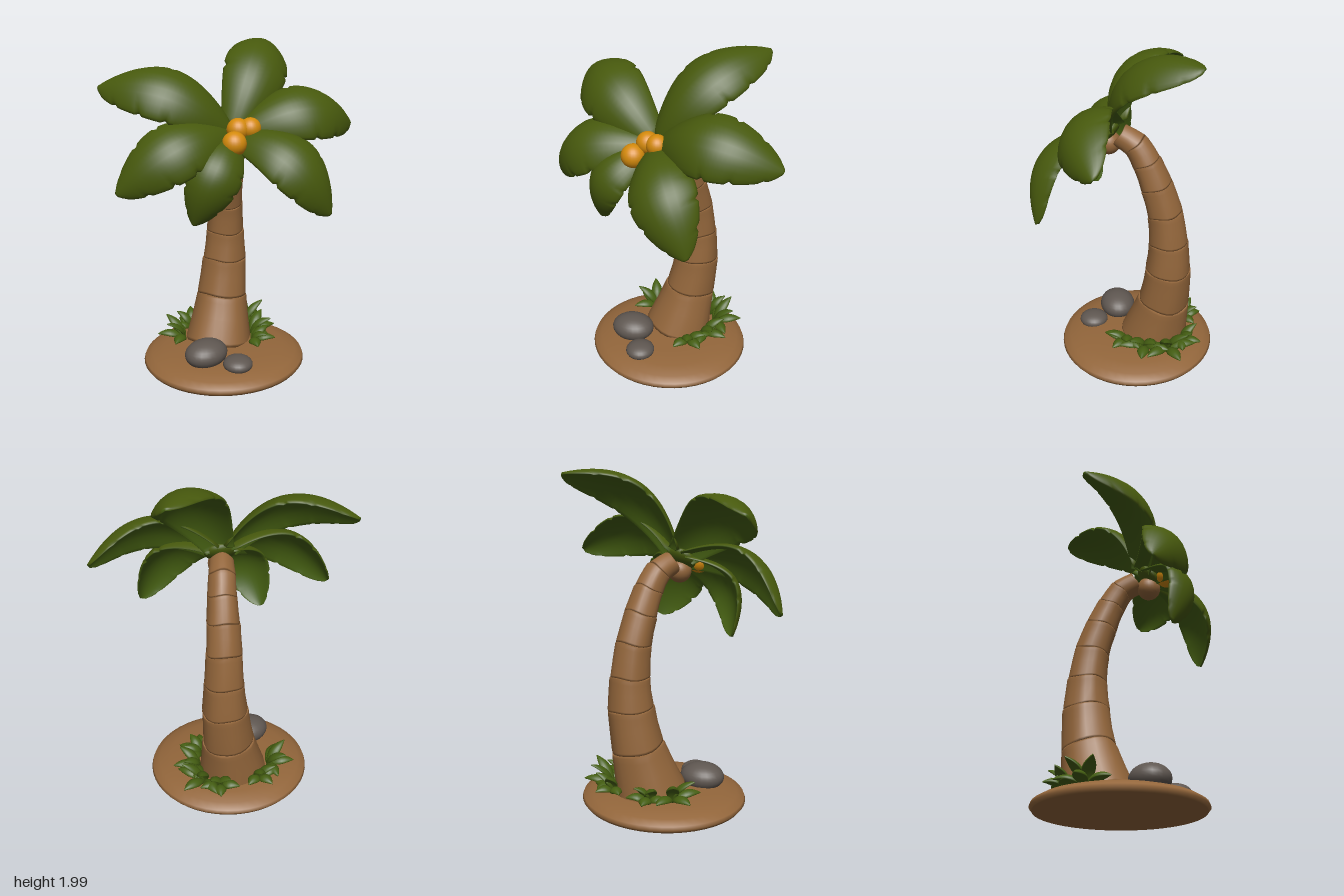
import * as THREE from 'three';

const V = (x, y, z) => new THREE.Vector3(x, y, z);
const material = (name, color) => Object.assign(new THREE.MeshStandardMaterial({ color }), { name });

// Closed skin over a list of rings; group 0 is the first half of each ring, group 1 the rest
function loft(rings) {
  const m = rings[0].length, last = rings.length - 1;
  const points = rings.flat(), upper = [], lower = [];
  for (let i = 0; i < last; i++) {
    for (let j = 0; j < m; j++) {
      const a = i * m + j, b = i * m + (j + 1) % m;
      (j < m / 2 ? upper : lower).push(a, a + m, b, b, a + m, b + m);
    }
  }
  for (const i of [0, last]) {
    const centre = rings[i].reduce((s, p) => s.add(p), V(0, 0, 0)).divideScalar(m);
    const c = points.push(centre) - 1;
    for (let j = 0; j < m; j++) {
      const a = i * m + j, b = i * m + (j + 1) % m;
      lower.push(c, i ? b : a, i ? a : b);
    }
  }
  const g = new THREE.BufferGeometry().setFromPoints(points);
  g.setIndex([...upper, ...lower]);
  g.addGroup(0, upper.length, 0);
  g.addGroup(upper.length, lower.length, 1);
  g.computeVertexNormals();
  return g;
}

// Arched, cupped leaf with a blunt tip and optional notches in its edge
function leafGeometry(base, tip, up, halfWidth, arch, thick, blunt, notch = 0, steps = 32) {
  const chord = tip.clone().sub(base);
  const dir = chord.clone().normalize();
  const n = up.clone().addScaledVector(dir, -up.dot(dir)).normalize();
  const side = dir.clone().cross(n);
  const rings = [], m = 24;
  for (let i = 0; i <= steps; i++) {
    const t = 1 - (1 - i / steps) ** 1.3;
    const p = base.clone().addScaledVector(chord, t).addScaledVector(n, arch * 4 * t * (1 - t));
    const tangent = chord.clone().addScaledVector(n, arch * 4 * (1 - 2 * t)).normalize();
    const normal = side.clone().cross(tangent).normalize();
    const s = Math.sin(Math.PI * Math.min(0.996, 0.07 + 0.93 * t ** 1.2));
    const w = halfWidth * s ** blunt;
    const ring = [];
    for (let j = 0; j < m; j++) {
      const a = (j / m) * Math.PI * 2;
      const u = Math.cos(a), v = Math.sin(a);
      const cut = t > 0.4 && (i + (u > 0 ? 0 : 3)) % 7 === 0 ? 1 - notch * u ** 8 : 1;
      ring.push(p.clone()
        .addScaledVector(side, u * w * cut)
        .addScaledVector(normal, Math.sign(v) * Math.abs(v) ** 0.6 * thick * (0.3 + 0.7 * s) - 0.43 * w * u * u));
    }
    rings.push(ring);
  }
  return loft(rings);
}

export function createModel() {
  const model = new THREE.Group();
  model.name = 'palmTree';
  const bark = material('bark brown', 0x93663b);
  const green = material('leaf green', 0x47590d);
  const fern = material('fern green', 0x455f12);
  const stone = material('stone grey', 0x5f5751);
  const orange = material('fruit orange', 0xd48a0c);

  const add = (name, geometry, mat, parent = model) => {
    const mesh = new THREE.Mesh(geometry, mat);
    mesh.name = name;
    parent.add(mesh);
    return mesh;
  };
  const ball = (name, mat, x, y, z, rx, ry = rx, rz = rx) => {
    const mesh = add(name, new THREE.SphereGeometry(1, 24, 16), mat);
    mesh.position.set(x, y, z);
    mesh.scale.set(rx, ry, rz);
    return mesh;
  };
  const group = (name) => {
    const g = new THREE.Group();
    g.name = name;
    model.add(g);
    return g;
  };

  // Ground mound
  const moundProfile = [[0, 0], [0.97, 0], [0.97, 0.005], [1, 0.02], [0.985, 0.04],
    [0.9, 0.065], [0.75, 0.087], [0.5, 0.1], [0, 0.105]];
  const mound = add('groundMound', new THREE.LatheGeometry(
    moundProfile.map(([r, y]) => new THREE.Vector2(r, y)), 48), bark);
  mound.scale.set(0.512, 1, 0.491);
  mound.position.set(-0.048, 0, -0.037);

  // Trunk: overlapping cup-shaped segments along a leaning curve
  const trunk = group('trunk');
  const joints = [
    [-0.045, 0.07, -0.15, 0.215], [0.005, 0.37, -0.215, 0.158], [0.033, 0.61, -0.24, 0.138],
    [0.038, 0.8, -0.24, 0.118], [0.033, 0.99, -0.215, 0.106], [0.025, 1.16, -0.16, 0.097],
    [0.015, 1.3, -0.1, 0.086], [0.0, 1.4, -0.035, 0.079], [-0.02, 1.45, 0.06, 0.07]];
  const path = new THREE.CatmullRomCurve3(joints.map(([x, y, z]) => V(x, y, z)));
  const count = joints.length - 1;
  const lip = [[0, 0.985], [0.06, 1], [0.5, 0.99], [0.85, 1.005], [0.96, 1.015], [1, 1]];
  for (let k = 0; k < count; k++) {
    const rings = lip.map(([f, flare]) => {
      const t = (k + f) / count;
      const dir = path.getTangent(t);
      const side = V(1, 0, 0).addScaledVector(dir, -dir.x).normalize();
      const front = side.clone().cross(dir);
      const r = THREE.MathUtils.lerp(joints[k][3], joints[k + 1][3], f) * flare;
      return Array.from({ length: 24 }, (_, j) => {
        const a = (j / 24) * Math.PI * 2;
        const rr = r * (1 + 0.018 * Math.cos(5 * a + k * 2));
        return path.getPoint(t)
          .addScaledVector(side, Math.cos(a) * rr)
          .addScaledVector(front, Math.sin(a) * rr)
          .addScaledVector(dir, 0.006 * Math.sin(3 * a));
      });
    });
    add('trunkSegment', loft(rings), [bark, bark], trunk);
  }

  // Crown: six fronds spreading in a plane that tilts forward
  const crown = group('crown');
  const up = V(0, 0.72, 0.69);
  const heart = V(-0.04, 1.5, 0.12);
  const fronds = [
    [-0.735, 1.74, -0.215, 0.2, 0.195], [0.38, 1.965, -0.425, 0.192, 0.19],
    [0.74, 1.5, 0.07, 0.195, 0.21], [0.405, 1.055, 0.47, 0.195, 0.2],
    [-0.335, 1.015, 0.26, 0.155, 0.19], [-0.735, 1.2, 0.15, 0.185, 0.2]];
  for (const [x, y, z, w, arch] of fronds) {
    const tip = V(x, y, z);
    const base = heart.clone().lerp(tip, 0.03);
    add('frond', leafGeometry(base, tip, up, w, arch, 0.024, 0.5, 0.1), [green, fern], crown);
  }
  ball('crownHeart', green, -0.035, 1.475, 0.14, 0.1, 0.045, 0.09).rotation.x = 0.76;

  // Coconuts
  ball('ripeCoconut', orange, -0.09, 1.452, 0.25, 0.07);
  ball('ripeCoconut', orange, 0.03, 1.522, 0.19, 0.062);
  ball('ripeCoconut', orange, -0.04, 1.518, 0.18, 0.065);
  ball('brownCoconut', bark, -0.03, 1.4, 0.135, 0.072);

  // Rocks
  ball('largeRock', stone, -0.225, 0.14, 0.125, 0.138, 0.084, 0.115).rotation.y = 0.3;
  ball('smallRock', stone, -0.07, 0.105, 0.26, 0.09, 0.049, 0.092);

  // Grass tufts: x, z, outward heading, blade length, height of the tall blades
  const tufts = [[-0.26, -0.21, 3.4, 0.17, 0.23], [-0.17, -0.32, 4.3, 0.13, 0.21],
    [0.09, -0.34, 4.9, 0.13, 0.22], [0.17, -0.26, 5.7, 0.18, 0.25],
    [0.17, -0.12, 0, 0.17, 0.21], [0.13, 0, 0.5, 0.15, 0.18]];
  for (const [x, z, heading, size, height] of tufts) {
    const tuft = group('grassTuft');
    for (let i = 0; i < 5; i++) {
      const a = heading + (i - 2) * 0.6;
      const length = size * (i % 2 ? 0.8 : 1);
      const base = V(x, 0.085, z);
      const tip = V(x + Math.cos(a) * length, i % 2 ? height : 0.13, z + Math.sin(a) * length);
      add('grassBlade', leafGeometry(base, tip, V(0, 1, 0), 0.038, 0.035, 0.012, 0.8, 0, 10),
        [fern, fern], tuft);
    }
  }
  return model;
}
